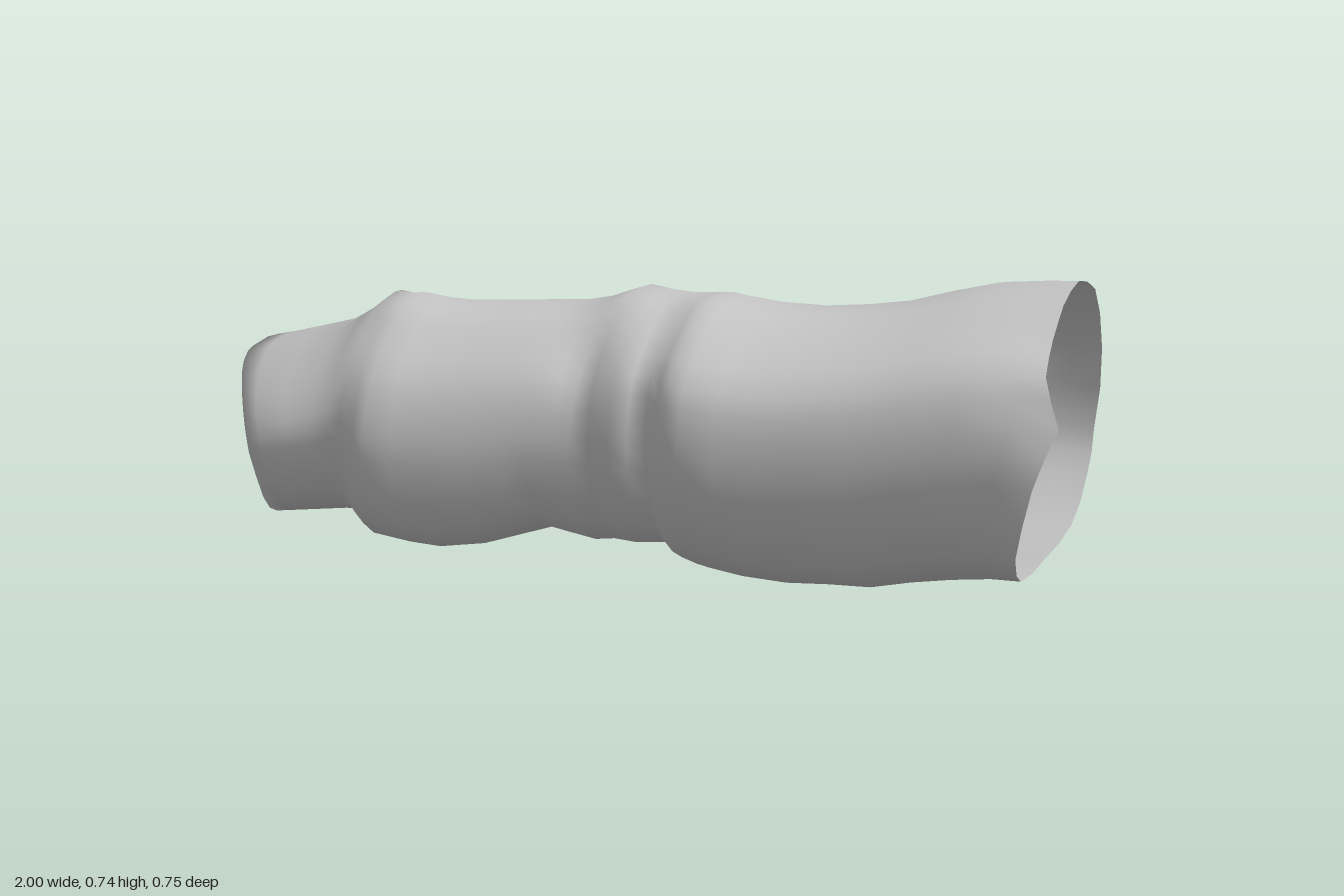
import * as THREE from 'three';

// Outline curves along the sleeve: [x, value]
const TOP = [[-1, .4], [-.76, .48], [-.7, .54], [-.63, .56], [-.5, .56], [-.22, .585], [-.16, .61], [-.12, .625],
  [0, .625], [.08, .645], [.27, .635], [.48, .66], [.7, .72], [.9, .745]];
const BOTTOM = [[-.91, .065], [-.71, .095], [-.63, .05], [-.52, .035], [-.4, .05], [-.25, .09], [-.16, .055],
  [.02, .055], [.07, .03], [.2, .01], [.3, .003], [.5, .025], [.65, .07], [.85, .115]];
const BACK = [[-.95, -.08], [-.73, -.1], [-.7, -.145], [-.62, -.135], [-.55, -.12], [-.23, -.19], [-.13, -.245],
  [0, -.24], [.2, -.24], [.44, -.28], [.6, -.34], [.79, -.375], [.84, -.37]];
const FRONT = [[-.97, .3], [-.91, .34], [-.71, .325], [-.64, .372], [-.4, .345], [-.12, .29], [-.06, .315],
  [.02, .29], [.055, .33], [.12, .355], [.3, .335], [.8, .305], [.96, .31], [1, .28]];

// Cross-sections in the unit square [towards front, up], starting at the front and going over the top
const CUFF = [[1, 0], [.95, .3], [.75, .61], [.43, .85], [.05, 1], [-.3, 1], [-.65, .95], [-.95, .62], [-1, .05],
  [-.82, -.42], [-.4, -.78], [0, -.95], [.4, -1], [.85, -.65]];
const WRIST = [[1, -.1], [.9, .3], [.7, .6], [.37, .83], [.05, .98], [-.3, .98], [-.6, .91], [-.96, .45], [-1, 0],
  [-.87, -.46], [-.6, -.75], [-.1, -.98], [.42, -1], [.9, -.7]];
const ARM = [[1, -.1], [.98, .33], [.85, .64], [.5, .87], [.08, 1], [-.3, .95], [-.66, .83], [-1, .45], [-.98, -.05],
  [-.82, -.48], [-.6, -.78], [-.3, -1], [.35, -.9], [.79, -.63]];
const FLARE = [[1, -.1], [.94, .33], [.75, .67], [.4, .81], [.1, .95], [-.25, 1], [-.54, .83], [-.96, .22], [-1, -.41],
  [-.84, -.7], [-.49, -.95], [.07, -1], [.57, -.98], [.93, -.67]];
const SECTIONS = [[-.72, CUFF], [-.66, WRIST], [-.45, WRIST], [0, ARM], [.35, ARM], [.88, FLARE]].map(([x, points]) =>
  [x, new THREE.CatmullRomCurve3(points.map(([u, v]) => new THREE.Vector3(u, v, 0)), true)]);

// x of the uneven open rim at each cross-section corner
const RIM = [.955, 1, .955, .925, .91, .9, .9, .86, .835, .84, .85, .86, .87, .905, .955].map((x, i) => [i, x]);

const STATIONS = [-.95, -.91, -.84, -.78, -.73, -.7, -.66, -.63, -.57, -.5, -.4, -.31, -.25, -.2, -.16, -.12, -.06,
  -.02, .02, .055, .08, .12, .2, .3, .4, .5, .6, .7, .8, .88];
const SIDES = 28;

function sample(table, x) {
  if (x <= table[0][0]) return table[0][1];
  for (let i = 1; i < table.length; i++) {
    const [x0, v0] = table[i - 1], [x1, v1] = table[i];
    if (x <= x1) return v0 + (v1 - v0) * (x - x0) / (x1 - x0);
  }
  return table[table.length - 1][1];
}

// Blend the two nearest cross-sections
function sectionPoint(x, t) {
  const last = SECTIONS.length - 1;
  let i = 0;
  while (i < last - 1 && x > SECTIONS[i + 1][0]) i++;
  const [x0, a] = SECTIONS[i], [x1, b] = SECTIONS[i + 1];
  return a.getPoint(t).lerp(b.getPoint(t), THREE.MathUtils.clamp((x - x0) / (x1 - x0), 0, 1));
}

function surfacePoint(station, j) {
  const { x: u, y: v } = sectionPoint(station, j / SIDES);
  // slanted, folded closed end and ragged open end
  const near = Math.max(0, 1 - (station + .95) / .2);
  const far = Math.max(0, (station - .5) / .38);
  const x = station + near * (.04 * u * u - .05 * v) + far * (sample(RIM, j / 2) - .88);
  const top = sample(TOP, x), bottom = sample(BOTTOM, x);
  const back = sample(BACK, x), front = sample(FRONT, x);
  // pinched crease on the upper front, at the bend
  const dent = 1 - .07 * Math.exp(-(((x + .15) / .05) ** 2) - (((u - .75) / .3) ** 2) - (((v - .7) / .3) ** 2));
  return [x,
    (top + bottom) / 2 + (top - bottom) / 2 * v * dent,
    (front + back) / 2 + (front - back) / 2 * u * dent];
}

export function createModel() {
  const group = new THREE.Group();
  group.name = 'sleeve';

  // Cloth tube, open at the wide end
  const positions = [], index = [];
  STATIONS.forEach((station, i) => {
    for (let j = 0; j < SIDES; j++) {
      positions.push(...surfacePoint(station, j));
      if (i === STATIONS.length - 1) continue;
      const a = i * SIDES + j, b = i * SIDES + (j + 1) % SIDES;
      index.push(a, a + SIDES, b, b, a + SIDES, b + SIDES);
    }
  });

  // Slanted cap closing the cuff
  const centre = STATIONS.length * SIDES;
  positions.push(-.95, .235, .12);
  for (let j = 0; j < SIDES; j++) index.push(centre, j, (j + 1) % SIDES);

  const geometry = new THREE.BufferGeometry();
  geometry.setAttribute('position', new THREE.Float32BufferAttribute(positions, 3));
  geometry.setIndex(index);
  geometry.computeVertexNormals();
  const tube = new THREE.Mesh(geometry,
    new THREE.MeshStandardMaterial({ color: 0xcccccc, side: THREE.DoubleSide }));
  tube.name = 'sleeveTube';
  group.add(tube);
  return group;
}
